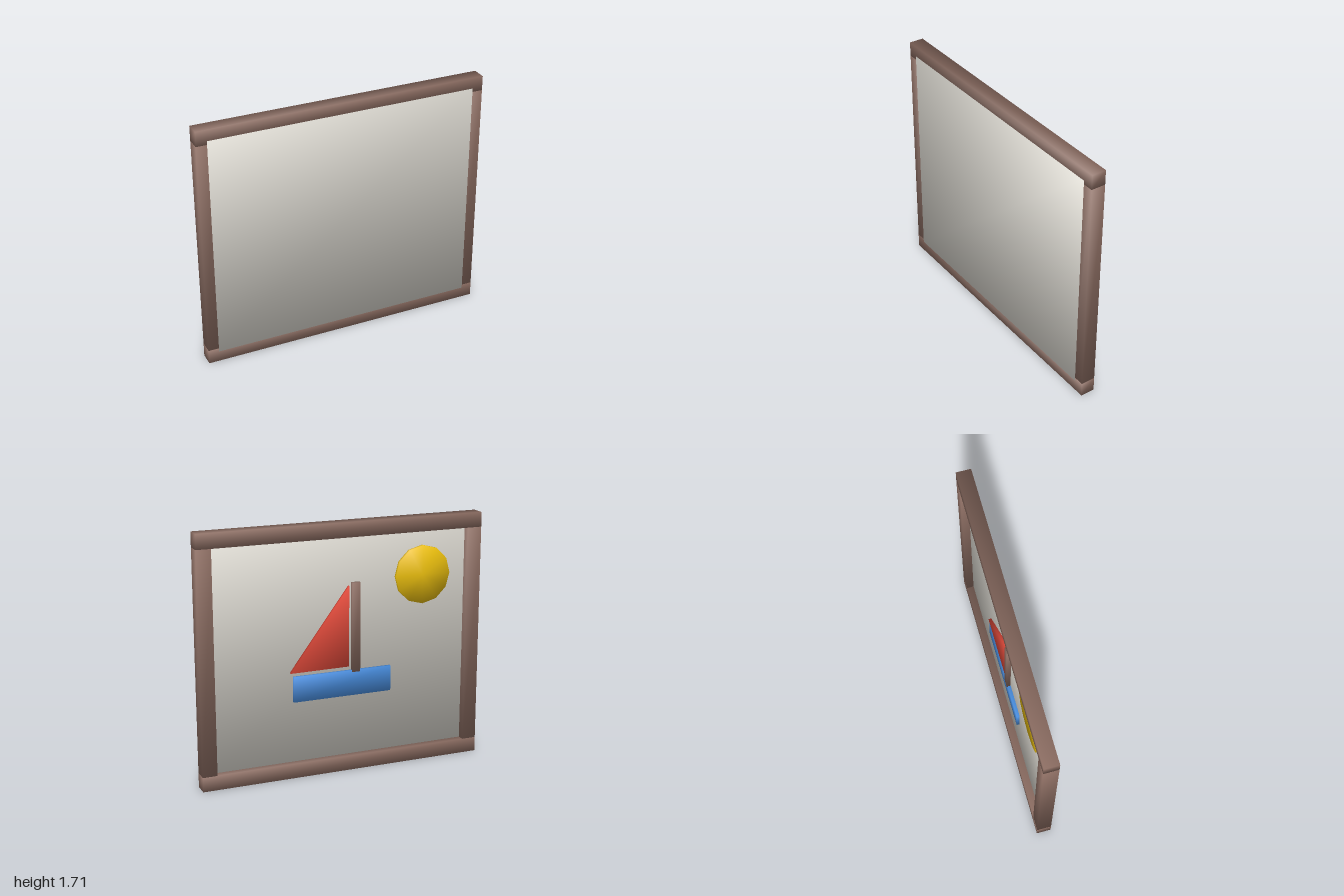
import * as THREE from 'three';

const mat = (name, color) => {
  const m = new THREE.MeshStandardMaterial({ color });
  m.name = name;
  return m;
};

// Share one averaged normal between all faces meeting at a corner.
function soften(geometry) {
  const pos = geometry.attributes.position, nor = geometry.attributes.normal;
  const key = (a, i) => [a.getX(i), a.getY(i), a.getZ(i)].map((v) => Math.round(v * 1e4)).join();
  const corners = new Map();
  for (let i = 0; i < pos.count; i++) {
    const k = key(pos, i);
    if (!corners.has(k)) corners.set(k, new Map());
    corners.get(k).set(key(nor, i), new THREE.Vector3().fromBufferAttribute(nor, i));
  }
  const sums = new Map();
  for (const [k, normals] of corners) {
    const sum = new THREE.Vector3();
    normals.forEach((n) => sum.add(n));
    sums.set(k, sum.normalize());
  }
  for (let i = 0; i < pos.count; i++) {
    const n = sums.get(key(pos, i));
    nor.setXYZ(i, n.x, n.y, n.z);
  }
  return geometry;
}

export function createModel() {
  const group = new THREE.Group();
  const wood = mat('brown wood', 0x8d6e63);
  const canvas = mat('pale canvas', 0xdad7cf);
  const blue = mat('blue', 0x4a90e2);
  const red = mat('red', 0xe74c3c);
  const yellow = mat('yellow', 0xf1c40f);

  const add = (name, geometry, material) => {
    const mesh = new THREE.Mesh(soften(geometry), material);
    mesh.name = name;
    group.add(mesh);
  };
  // Box given by its limits on each axis
  const box = (name, material, [x0, x1], [y0, y1], [z0, z1]) => {
    const g = new THREE.BoxGeometry(x1 - x0, y1 - y0, z1 - z0);
    g.translate((x0 + x1) / 2, (y0 + y1) / 2, (z0 + z1) / 2);
    add(name, g, material);
  };

  // Frame
  const depth = [-0.05, 0.05];
  box('bottomRail', wood, [-1, 1], [0, 0.1], depth);
  box('topRail', wood, [-1, 1], [1.61, 1.71], depth);
  box('leftStile', wood, [0.9, 1], [0.1, 1.61], depth);
  box('rightStile', wood, [-1, -0.9], [0.1, 1.61], depth);

  // Canvas board, set into the frame and flush with its front
  box('canvas', canvas, [-0.927, 0.927], [0.075, 1.635], [0, 0.051]);

  // Boat in relief on the back
  box('hull', blue, [-0.35, 0.35], [0.523, 0.698], [-0.02, 0.01]);
  box('mast', wood, [-0.123, -0.066], [0.687, 1.3], [-0.027, 0.01]);
  const sail = new THREE.Shape([
    new THREE.Vector2(0.372, 0.725),
    new THREE.Vector2(-0.045, 1.28),
    new THREE.Vector2(-0.045, 0.727),
  ]);
  const sailGeometry = new THREE.ExtrudeGeometry(sail, { depth: 0.03, bevelEnabled: false });
  add('sail', sailGeometry.translate(0, 0, -0.02), red);

  // Twelve-sided sun
  const sun = new THREE.CylinderGeometry(0.2, 0.2, 0.03, 12);
  add('sun', sun.rotateX(Math.PI / 2).translate(-0.582, 1.31, -0.005), yellow);

  return group;
}
